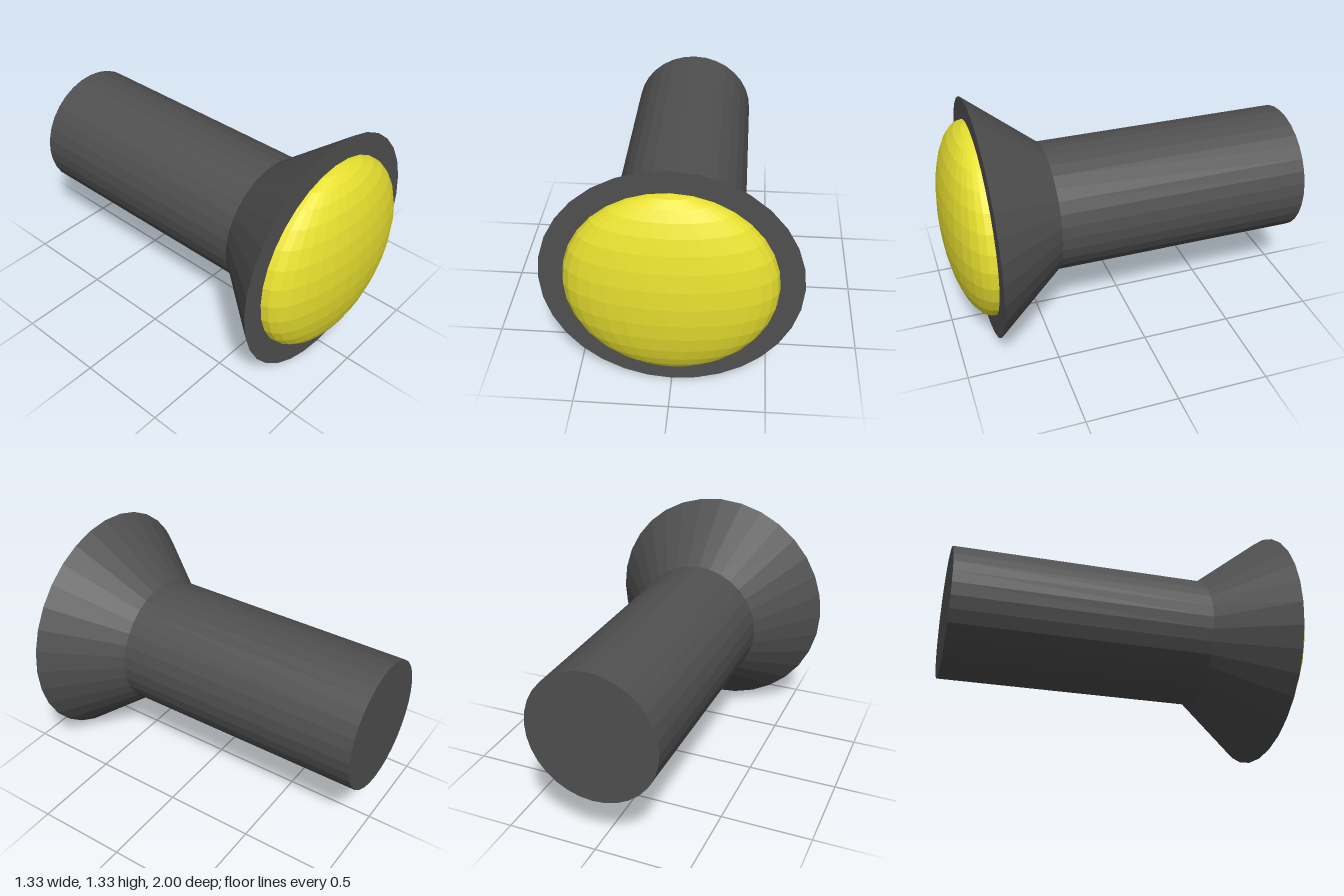
import * as THREE from 'three';

const SIDES = 32;
const AXIS_Y = 0.663; // height of the lamp's long axis

export function createModel() {
  const model = new THREE.Group();
  const dark = new THREE.MeshStandardMaterial({ color: 0x505050, flatShading: true });
  const yellow = new THREE.MeshStandardMaterial({ color: 0xe8e030, flatShading: true });

  // Round section along z, from zBack to zFront
  function section(name, rBack, rFront, zBack, zFront) {
    const geometry = new THREE.CylinderGeometry(rFront, rBack, zFront - zBack, SIDES);
    geometry.rotateX(Math.PI / 2);
    const mesh = new THREE.Mesh(geometry, dark);
    mesh.name = name;
    mesh.position.set(0, AXIS_Y, (zBack + zFront) / 2);
    model.add(mesh);
  }

  section('handle', 0.36, 0.36, -1, 0.415);
  section('flaredHead', 0.36, 0.663, 0.415, 0.797);

  // Front half of a flattened sphere, with its poles up and down
  const lens = new THREE.Mesh(new THREE.SphereGeometry(0.54, SIDES, 16, 0, Math.PI * 2), yellow);
  lens.name = 'lens';
  lens.scale.z = 0.203 / 0.54;
  lens.position.set(0, AXIS_Y + 0.002, 0.797);
  model.add(lens);

  return model;
}
